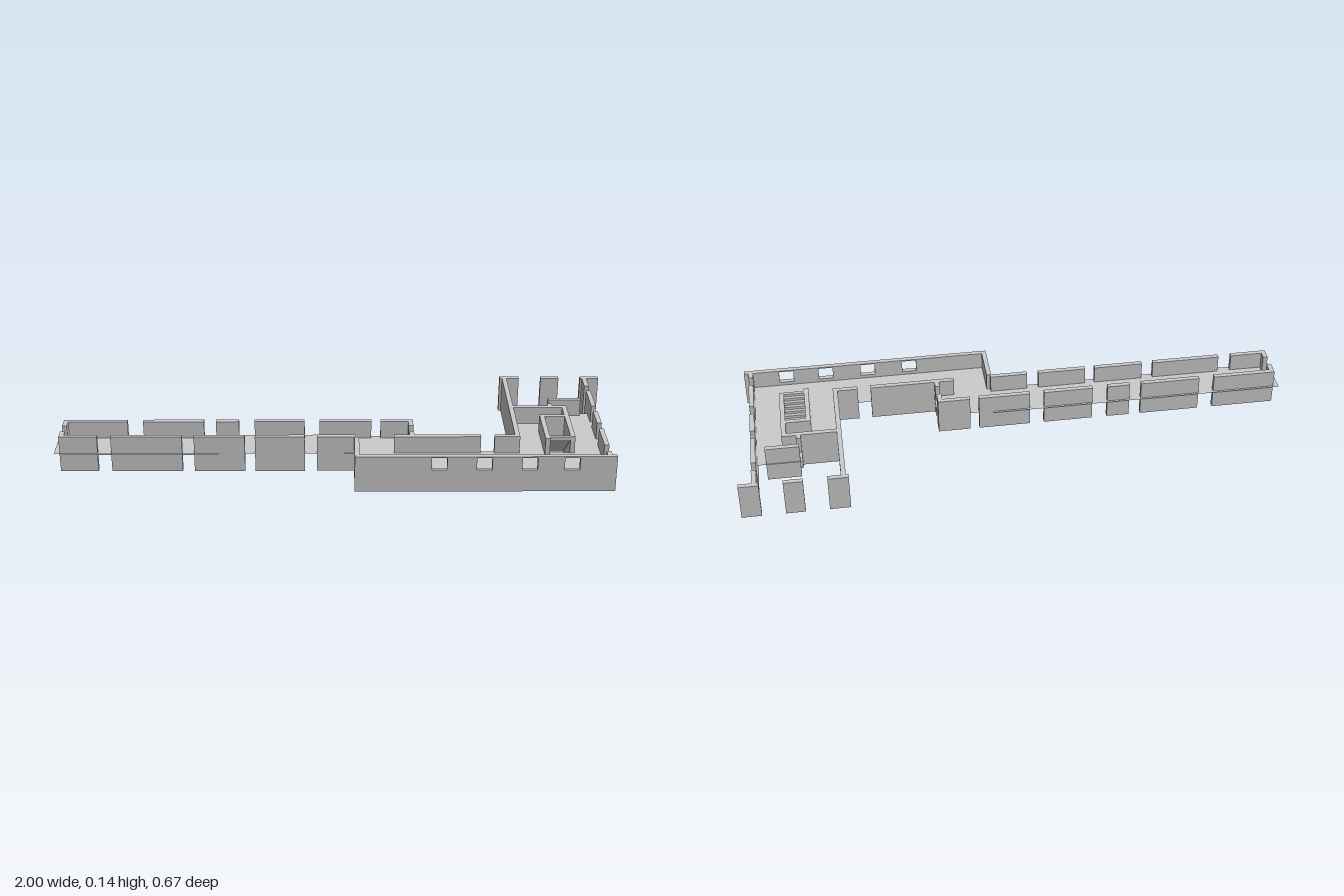
import * as THREE from 'three';

const H = 0.135;        // wall height
const FLOOR = 0.07;     // floor level, halfway up the walls
const T = 0.017;        // wall thickness
const grey = new THREE.MeshStandardMaterial({ color: 0xcccccc, flatShading: true });
const thin = new THREE.MeshStandardMaterial({ color: 0xcccccc, side: THREE.DoubleSide });

export function createModel() {
  const model = new THREE.Group();
  model.name = 'floorPlan';

  const box = (parent, name, x0, x1, y0, y1, z0, z1) => {
    const mesh = new THREE.Mesh(new THREE.BoxGeometry(x1 - x0, y1 - y0, z1 - z0), grey);
    mesh.position.set((x0 + x1) / 2, (y0 + y1) / 2, (z0 + z1) / 2);
    mesh.name = name;
    parent.add(mesh);
  };
  const group = (name) => {
    const g = new THREE.Group();
    g.name = name;
    model.add(g);
    return g;
  };
  // Rows of wall pieces running along x (starting at z) or along z (starting at x)
  const wallsX = (name, z, spans) => {
    const g = group(name);
    spans.forEach(([a, b]) => box(g, 'wallPiece', a, b, 0, H, z, z + T));
  };
  const wallsZ = (name, x, spans) => {
    const g = group(name);
    spans.forEach(([a, b]) => box(g, 'wallPiece', x, x + T, 0, H, a, b));
  };

  // Long wing
  wallsX('wingBackWall', 0.04, [[-0.98, -0.75], [-0.694, -0.475], [-0.432, -0.349],
    [-0.293, -0.113], [-0.06, 0.127], [0.16, 0.277]]);
  wallsX('wingFrontWall', 0.162, [[-0.98, -0.845], [-0.797, -0.545], [-0.503, -0.323],
    [-0.287, -0.111], [-0.068, 0.068]]);
  wallsZ('wingEndWall', -0.98, [[0.057, 0.09], [0.135, 0.162]]);
  wallsZ('wingInnerEndWall', 0.26, [[0.057, 0.09], [0.135, 0.162]]);

  // Hall
  wallsX('hallBackWall', 0.162, [[0.205, 0.512], [0.56, 0.633]]);
  wallsZ('hallEndWall', 0.064, [[0.179, 0.316]]);
  wallsZ('sideWall', 0.937, [[-0.316, -0.247], [-0.207, -0.07], [-0.03, 0.07],
    [0.115, 0.245], [0.29, 0.316]]);

  // Hall front wall with its row of windows
  const face = new THREE.Shape([[0.064, 0], [0.97, 0], [0.97, H], [0.064, H]]
    .map(([x, y]) => new THREE.Vector2(x, y)));
  [0.33, 0.486, 0.643, 0.789].forEach((x) => {
    face.holes.push(new THREE.Path([[x, 0.083], [x, 0.13], [x + 0.053, 0.13], [x + 0.053, 0.083]]
      .map(([a, b]) => new THREE.Vector2(a, b))));
  });
  const front = new THREE.Mesh(
    new THREE.ExtrudeGeometry(face, { depth: T, bevelEnabled: false }), grey);
  front.position.z = 0.333 - T;
  front.name = 'hallFrontWall';
  model.add(front);

  // Rear court and small rooms
  wallsX('courtBackWall', -0.333, [[0.624, 0.697], [0.78, 0.848], [0.93, 1.0]]);
  wallsZ('courtLongWall', 0.633, [[-0.316, 0.179]]);
  wallsX('roomBackWall', -0.077, [[0.65, 0.845]]);
  wallsX('annexBackWall', -0.142, [[0.785, 0.905]]);
  wallsZ('annexSideWall', 0.777, [[-0.095, -0.077]]);

  // Stairwell
  wallsX('stairBackWall', 0, [[0.755, 0.828]]);
  wallsZ('stairLeftWall', 0.738, [[0, 0.195]]);
  wallsZ('stairRightWall', 0.828, [[-0.06, 0.179]]);
  const stairs = group('stairs');
  const steps = 13;
  const rise = H / steps;
  const tread = 0.0125;
  for (let i = 0; i < steps; i++) {
    const z = 0.018 + i * tread;
    box(stairs, 'step', 0.755, 0.828, Math.max(0, (i - 0.4) * rise), (i + 1) * rise, z, z + tread);
  }

  // Thin floor with an opening for the stairs
  const outline = [[-1, 0.032], [0.075, 0.032], [0.075, 0.042], [0.28, 0.042], [0.28, 0.165],
    [0.64, 0.165], [0.64, -0.07], [0.777, -0.07], [0.777, -0.145], [0.952, -0.145],
    [0.952, 0.325], [0.07, 0.325], [0.07, 0.182], [-1, 0.182]];
  const plan = new THREE.Shape(outline.map(([x, z]) => new THREE.Vector2(x, z)));
  plan.holes.push(new THREE.Path([[0.75, 0.012], [0.835, 0.012], [0.835, 0.175], [0.75, 0.175]]
    .map(([x, z]) => new THREE.Vector2(x, z))));
  const floor = new THREE.Mesh(new THREE.ShapeGeometry(plan).rotateX(Math.PI / 2), thin);
  floor.position.y = FLOOR;
  floor.name = 'floor';
  model.add(floor);

  return model;
}
